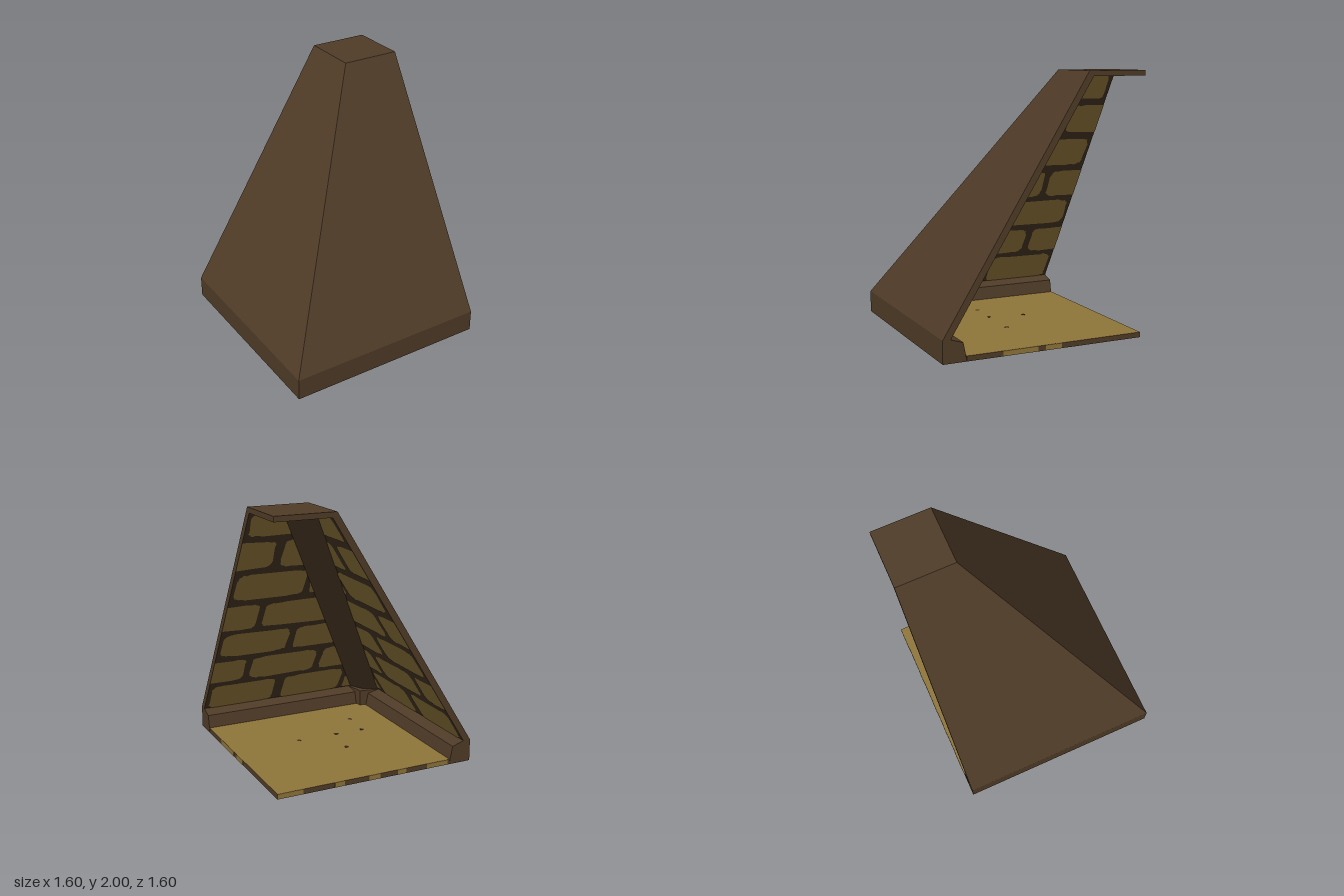
import * as THREE from 'three';

const mat = (name, color, side = THREE.FrontSide) => {
  const m = new THREE.MeshStandardMaterial({ color, side });
  m.name = name;
  return m;
};

// Seeded noise in -1..1 for the ragged stone outlines
let seed = 7;
const noise = () => {
  seed = (seed * 16807) % 2147483647;
  return (seed / 2147483647) * 2 - 1;
};

// Flat-shaded geometry from triangles or quads given as corner points
function facets(polys) {
  const pos = [];
  for (const p of polys)
    for (let i = 1; i < p.length - 1; i++) pos.push(...p[0], ...p[i], ...p[i + 1]);
  const g = new THREE.BufferGeometry();
  g.setAttribute('position', new THREE.Float32BufferAttribute(pos, 3));
  g.computeVertexNormals();
  return g;
}

// Wall section as [z, y]: outer curb, outer slope, inner slope, inner curb
const SECTION = [
  [0.8, 0], [0.8, 0.17], [-0.335, 2], [-0.37, 1.96],
  [0.74, 0.17], [0.645, 0.14], [0.625, 0.04], [0.62, 0],
];
const INNER = 3; // segment that carries the stonework
const LEAN = 0.62;

// Stones as [z start (null = cut by the corner beam), z end, y bottom, y top]
const STONES = [
  [null, 0.465, 0.18, 0.3], [0.42, -0.13, 0.165, 0.395], [-0.21, -0.77, 0.165, 0.395],
  [null, 0.16, 0.435, 0.65], [0.1, -0.47, 0.435, 0.65], [-0.53, -0.95, 0.435, 0.65],
  [null, -0.15, 0.7, 0.91], [-0.21, -0.77, 0.7, 0.91],
  [null, -0.48, 0.955, 1.175], [-0.53, -0.95, 0.955, 1.175],
  [null, -0.15, 1.24, 1.36], [-0.2, -0.77, 1.23, 1.45],
  [null, -0.46, 1.5, 1.72], [-0.53, -0.95, 1.5, 1.72],
  [null, -0.77, 1.77, 1.955],
];

function stoneGeometry([start, end, y0, y1]) {
  const limit = (y) => 0.56 - LEAN * (y - 0.17);
  const u0 = start ?? limit(y0) + 0.1;
  const pts = [];
  const N = 40;
  const round = (v) => Math.sign(v) * Math.abs(v) ** 0.28;
  for (let i = 0; i < N; i++) {
    const a = ((i + 0.5) / N) * Math.PI * 2;
    const y = (y0 + y1) / 2 + ((y1 - y0) / 2) * round(Math.sin(a)) + noise() * 0.006;
    const u = (u0 + end) / 2 + (Math.abs(u0 - end) / 2) * round(Math.cos(a)) + noise() * 0.006;
    pts.push(new THREE.Vector2(Math.max(-0.8, Math.min(u, limit(y))), y));
  }
  const g = new THREE.ShapeGeometry(new THREE.Shape(pts));
  const p = g.attributes.position;
  // lay the outline on the leaning inner face
  for (let i = 0; i < p.count; i++) {
    const y = p.getY(i);
    p.setXYZ(i, -p.getX(i), y, 0.74 - LEAN * (y - 0.17) - 0.004);
  }
  g.computeVertexNormals();
  return g;
}

export function createModel() {
  const brown = mat('brown timber', 0x4f3b27);
  const beamBrown = mat('beam brown', 0x4f3b27, THREE.DoubleSide);
  const mortar = mat('dark mortar', 0x443322);
  const stone = mat('ochre stone', 0x8f753a);

  const model = new THREE.Group();
  model.name = 'roofCorner';
  const add = (parent, name, geo, material, x = 0, y = 0, z = 0) => {
    const m = new THREE.Mesh(geo, material);
    m.name = name;
    m.position.set(x, y, z);
    parent.add(m);
    return m;
  };

  // One wall, mitred along the corner, open at x = 0.8
  const buildWall = (name) => {
    const wall = new THREE.Group();
    wall.name = name;
    const quads = SECTION.map(([z, y], i) => {
      const [z2, y2] = SECTION[(i + 1) % SECTION.length];
      return [[-z, y, z], [0.8, y, z], [0.8, y2, z2], [-z2, y2, z2]];
    });
    const ring = SECTION.map(([z, y]) => new THREE.Vector2(-z, y)).reverse();
    const cap = THREE.ShapeUtils.triangulateShape(ring, []).map((t) =>
      t.map((i) => [0.8, ring[i].y, -ring[i].x]));
    add(wall, 'wallShell', facets([...quads.filter((q, i) => i !== INNER), ...cap]), brown);
    add(wall, 'mortarFace', facets([quads[INNER]]), mortar);

    // Half of the corner beam: leaning face, short post and its ledge
    const d = LEAN * 1.79;
    const B = [-0.62, 0.17, 0.62], A = [-0.56, 0.17, 0.74];
    const P = [-0.57, 0.17, 0.57], Q = [-0.545, 0.17, 0.74];
    const up = ([x, , z]) => [x + d, 1.96, z - d];
    const down = ([x, , z]) => [x, 0.03, z];
    add(wall, 'cornerBeam', facets([
      [B, A, up(A), up(B)],
      [P, Q, down(Q), down(P)],
      [B, A, Q, P],
    ]), beamBrown);

    for (const s of STONES) add(wall, 'stone', stoneGeometry(s), stone);
    model.add(wall);
    return wall;
  };
  buildWall('frontWall');
  const side = buildWall('sideWall');
  side.rotation.y = Math.PI / 2;
  side.scale.z = -1;

  // Cap plate on top
  add(model, 'topPlate', new THREE.BoxGeometry(0.465, 0.04, 0.465), brown, 0.5675, 1.98, -0.5675);

  // Floor slab with ochre faces and brown rim
  add(model, 'floor', new THREE.BoxGeometry(1.42, 0.04, 1.42),
    [brown, brown, stone, stone, brown, brown], 0.09, 0.02, -0.09);

  // Ochre patches along the two open floor edges
  for (const [a, b] of [[0.06, 0.34], [-0.13, 0]])
    add(model, 'sideEdgePatch', new THREE.BoxGeometry(0.004, 0.038, b - a), stone, 0.8, 0.02, (a + b) / 2);
  for (const [a, b] of [[0.6, 0.8], [0.27, 0.35], [-0.02, 0.07], [-0.24, -0.17], [-0.6, -0.42]])
    add(model, 'backEdgePatch', new THREE.BoxGeometry(b - a, 0.038, 0.004), stone, (a + b) / 2, 0.02, -0.8);

  // Small dark pits in the floor, seen on both faces
  for (const [x, z] of [[0.25, 0.05], [-0.08, 0.05], [-0.03, -0.23], [-0.31, 0.05], [-0.33, 0.3]])
    add(model, 'floorPit', new THREE.CylinderGeometry(0.018, 0.018, 0.043, 6), mortar, x, 0.02, z);

  return model;
}
